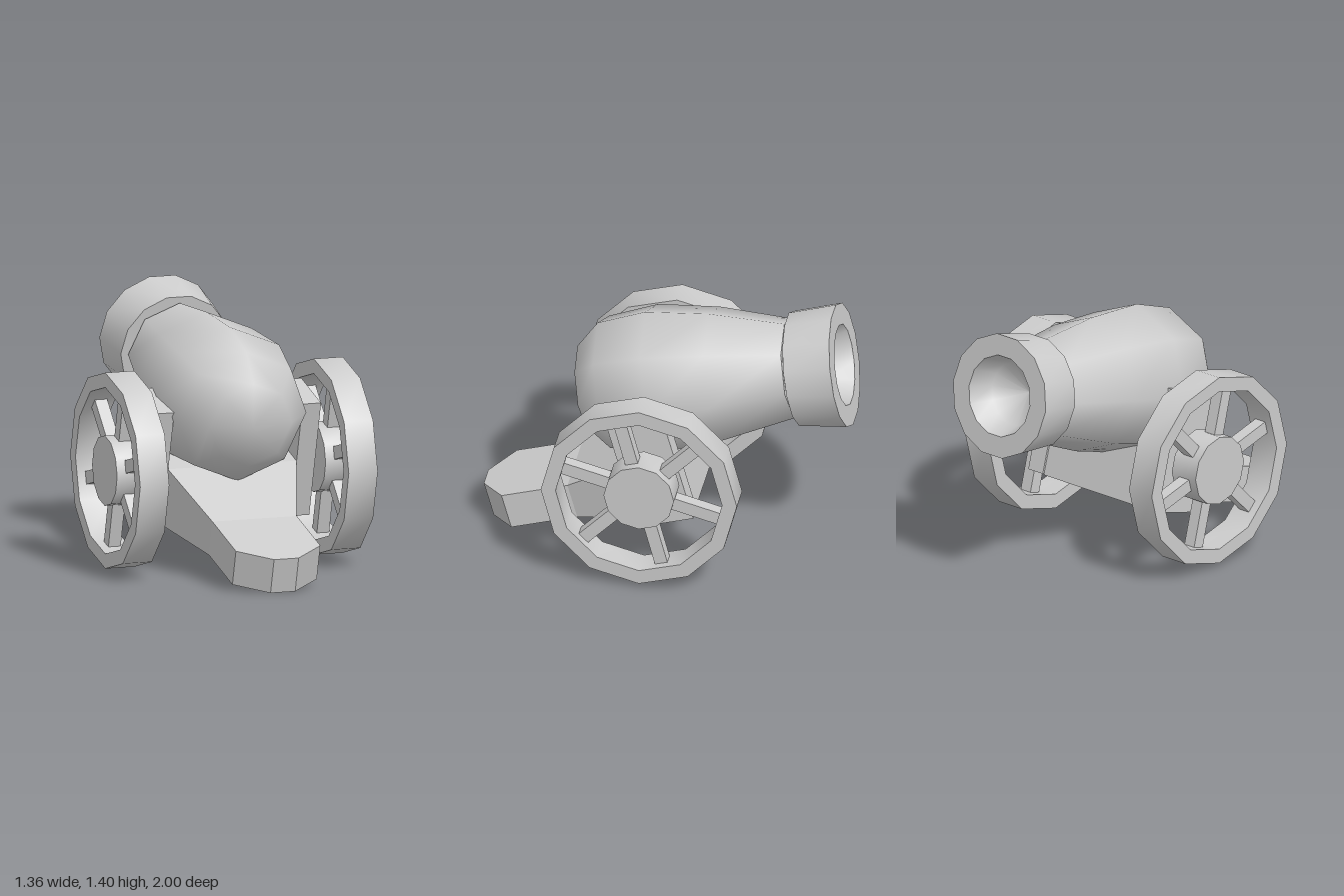
import * as THREE from 'three';
import { toCreasedNormals } from 'three/addons/utils/BufferGeometryUtils.js';

const material = new THREE.MeshStandardMaterial({ color: 0xcccccc });
const flatMaterial = new THREE.MeshStandardMaterial({ color: 0xcccccc, flatShading: true });

function add(parent, name, geometry, mat = material) {
  const mesh = new THREE.Mesh(geometry, mat);
  mesh.name = name;
  parent.add(mesh);
  return mesh;
}

// Turned shape from [radius, height] pairs, smooth around and sharp at its rims
function turned(profile, sides, phase = 0) {
  const points = profile.map(([r, h]) => new THREE.Vector2(r, h));
  return toCreasedNormals(new THREE.LatheGeometry(points, sides, phase), 1);
}

// Barrel: bulging body, neck and flared muzzle with a hollow bore, aimed along -z
function createBarrel() {
  const barrel = new THREE.Group();
  barrel.name = 'barrel';
  const body = turned([[0, -0.51], [0.233, -0.475], [0.365, -0.34], [0.41, -0.07],
    [0.37, 0.27], [0.275, 0.67], [0, 0.67]], 8);
  const neck = turned([[0.24, 0.64], [0.24, 0.71]], 14, Math.PI / 14);
  const muzzle = turned([[0, 0.688], [0.31, 0.688], [0.335, 0.95], [0.22, 0.95],
    [0.17, 0.82], [0, 0.71]], 14, Math.PI / 14);
  add(barrel, 'barrelBody', body.rotateX(-Math.PI / 2));
  add(barrel, 'neck', neck.rotateX(-Math.PI / 2));
  add(barrel, 'muzzle', muzzle.rotateX(-Math.PI / 2));
  barrel.position.set(0, 0.908, 0);
  barrel.rotation.x = 0.184;
  return barrel;
}

// Trail: box whose stations along its length set half width and height
function createTrail() {
  const stations = [[0, 0.07, 0.197], [0.13, 0.24, 0.197], [0.5, 0.24, 0.197],
    [0.89, 0.365, 0.33], [1.184, 0.365, 0.33]];
  const geometry = new THREE.BoxGeometry(2, 1, 1, 1, 1, 4);
  const p = geometry.attributes.position;
  for (let i = 0; i < p.count; i++) {
    const [along, halfWidth, height] = stations[Math.round((0.5 - p.getZ(i)) * 4)];
    p.setXYZ(i, p.getX(i) * halfWidth, (p.getY(i) + 0.5) * height, -along);
  }
  const trail = new THREE.Group();
  trail.name = 'trail';
  add(trail, 'trailBeam', geometry, flatMaterial);
  trail.position.set(0, 0, 0.95);
  trail.rotation.x = 0.274;
  return trail;
}

// Wheel: twelve-sided rim, hub and six spokes, turning about x
function createWheel(name) {
  const wheel = new THREE.Group();
  wheel.name = name;
  const h = 0.0825;
  const rim = turned([[0.45, -h], [0.53, -h], [0.53, h], [0.45, h], [0.45, -h]], 12);
  add(wheel, 'rim', rim.rotateZ(-Math.PI / 2));
  const hub = turned([[0, -0.086], [0.19, -0.086], [0.19, 0.086], [0, 0.086]], 12);
  add(wheel, 'hub', hub.rotateZ(-Math.PI / 2));
  for (let i = 0; i < 6; i++) {
    const spoke = new THREE.BoxGeometry(0.07, 0.07, 0.31).translate(0, 0, -0.305);
    add(wheel, 'spoke', spoke, flatMaterial).rotation.x = Math.PI / 4 + i * Math.PI / 3;
  }
  return wheel;
}

export function createModel() {
  const cannon = new THREE.Group();
  cannon.name = 'cannon';
  cannon.add(createBarrel(), createTrail());

  // Mirrored side cheeks and wheels
  for (const [side, label] of [[1, 'left'], [-1, 'right']]) {
    const cheek = add(cannon, label + 'Cheek', new THREE.BoxGeometry(0.105, 0.66, 0.31), flatMaterial);
    cheek.position.set(side * 0.4175, 0.605, 0.04);
    cheek.rotation.x = 0.274;

    const wheel = createWheel(label + 'Wheel');
    wheel.position.set(side * 0.593, 0.55, 0.06);
    cannon.add(wheel);
  }
  return cannon;
}
